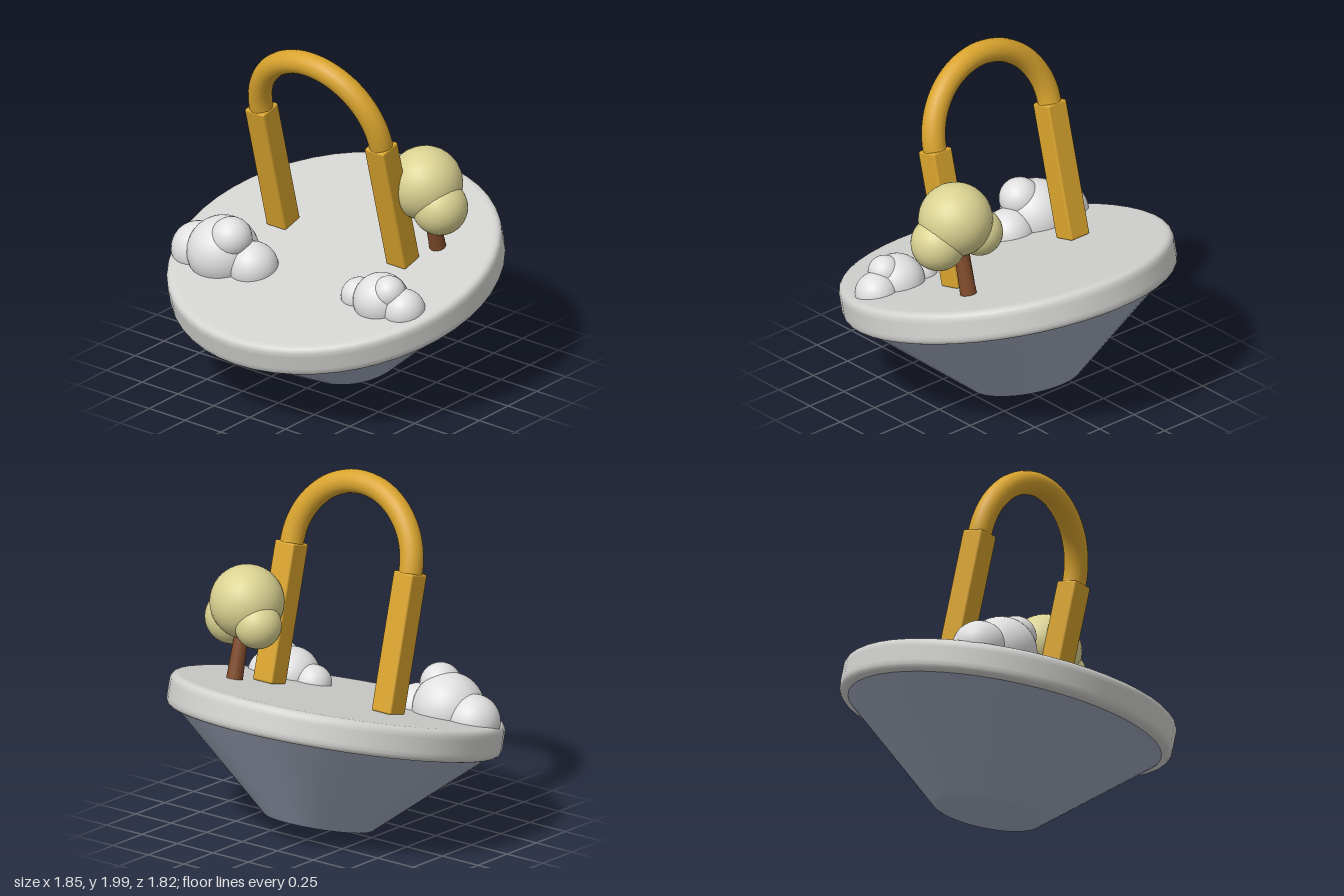
import * as THREE from 'three';
import { RoundedBoxGeometry } from 'three/addons/geometries/RoundedBoxGeometry.js';

const mat = (name, color) => {
  const m = new THREE.MeshStandardMaterial({ color });
  m.name = name;
  return m;
};

// Solid of revolution with rounded outer edges, from (r0, y0) up to (r1, y1)
function roundedDrum(r0, y0, r1, y1, bevel) {
  const path = [new THREE.Vector2(0, y0), new THREE.Vector2(r0 - bevel * 1.15, y0)];
  const side = new THREE.Vector2(r1 - r0, y1 - y0).normalize().multiplyScalar(bevel);
  const corner = (a, b, c) => {
    const curve = new THREE.QuadraticBezierCurve(a, b, c);
    path.push(...curve.getPoints(5));
  };
  const low = new THREE.Vector2(r0, y0);
  const high = new THREE.Vector2(r1, y1);
  corner(new THREE.Vector2(r0 - bevel, y0), low, low.clone().add(side));
  path.push(low.clone().addScaledVector(side, 1.15), high.clone().addScaledVector(side, -1.15));
  corner(high.clone().sub(side), high, new THREE.Vector2(r1 - bevel, y1));
  path.push(new THREE.Vector2(r1 - bevel * 1.15, y1), new THREE.Vector2(0, y1));
  return new THREE.LatheGeometry(path, 48);
}

export function createModel() {
  const model = new THREE.Group();
  model.name = 'floatingIsland';

  const stone = mat('pale grey', 0xd2d2d0);
  const slate = mat('slate blue', 0xa0a8bc);
  const gold = mat('gold', 0xd9a42e);
  const bark = mat('bark brown', 0x7e4a2a);
  const leaf = mat('pale leaf', 0xdad292);
  const white = mat('cloud white', 0xe0e0e0);

  // Everything leans forward as one piece
  const tilted = new THREE.Group();
  tilted.name = 'tiltedIsland';
  tilted.position.set(0, 0.072, -0.15);
  tilted.rotation.x = 0.25;
  model.add(tilted);

  const add = (name, geometry, material, x = 0, y = 0, z = 0, parent = tilted) => {
    const mesh = new THREE.Mesh(geometry, material);
    mesh.name = name;
    mesh.position.set(x, y, z);
    parent.add(mesh);
    return mesh;
  };

  // Cluster of balls, each [x, y, z, radius]
  const cluster = (name, material, balls) => {
    const group = new THREE.Group();
    group.name = name;
    tilted.add(group);
    balls.forEach(([x, y, z, r], i) =>
      add(`${name}Puff${i + 1}`, new THREE.SphereGeometry(r, 32, 20), material, x, y, z, group));
  };

  const ground = 0.698;

  // Base cone and platform
  add('baseCone', roundedDrum(0.295, 0, 0.882, 0.525, 0.015), slate);
  add('platform', roundedDrum(0.925, 0.515, 0.925, ground, 0.045), stone);

  // Arch: two square posts and a half ring
  const archZ = -0.088;
  const postTop = 1.477;
  const postHeight = postTop - ground;
  for (const [name, side] of [['leftPost', 1], ['rightPost', -1]]) {
    add(name, new RoundedBoxGeometry(0.135, postHeight, 0.135, 3, 0.012), gold,
      side * 0.418, ground + postHeight / 2, archZ);
  }
  add('archTop', new THREE.TorusGeometry(0.418, 0.066, 20, 48, Math.PI), gold, 0, postTop - 0.004, archZ);

  // Tree
  add('trunk', new THREE.CylinderGeometry(0.036, 0.046, 0.38, 24), bark, 0.51, ground + 0.19, -0.28);
  cluster('treeCrown', leaf, [
    [0.51, 1.126, -0.28, 0.205],
    [0.622, 1.022, -0.24, 0.153],
    [0.387, 1.018, -0.31, 0.13],
  ]);

  // Low clouds resting on the platform
  cluster('largeCloud', white, [
    [-0.51, 0.74, 0.322, 0.2],
    [-0.69, 0.705, 0.322, 0.15],
    [-0.31, 0.7, 0.322, 0.14],
    [-0.425, 0.863, 0.327, 0.115],
  ]);
  cluster('smallCloud', white, [
    [0.55, 0.712, 0.273, 0.155],
    [0.395, 0.695, 0.273, 0.103],
    [0.705, 0.695, 0.273, 0.118],
    [0.622, 0.79, 0.275, 0.092],
  ]);

  return model;
}
